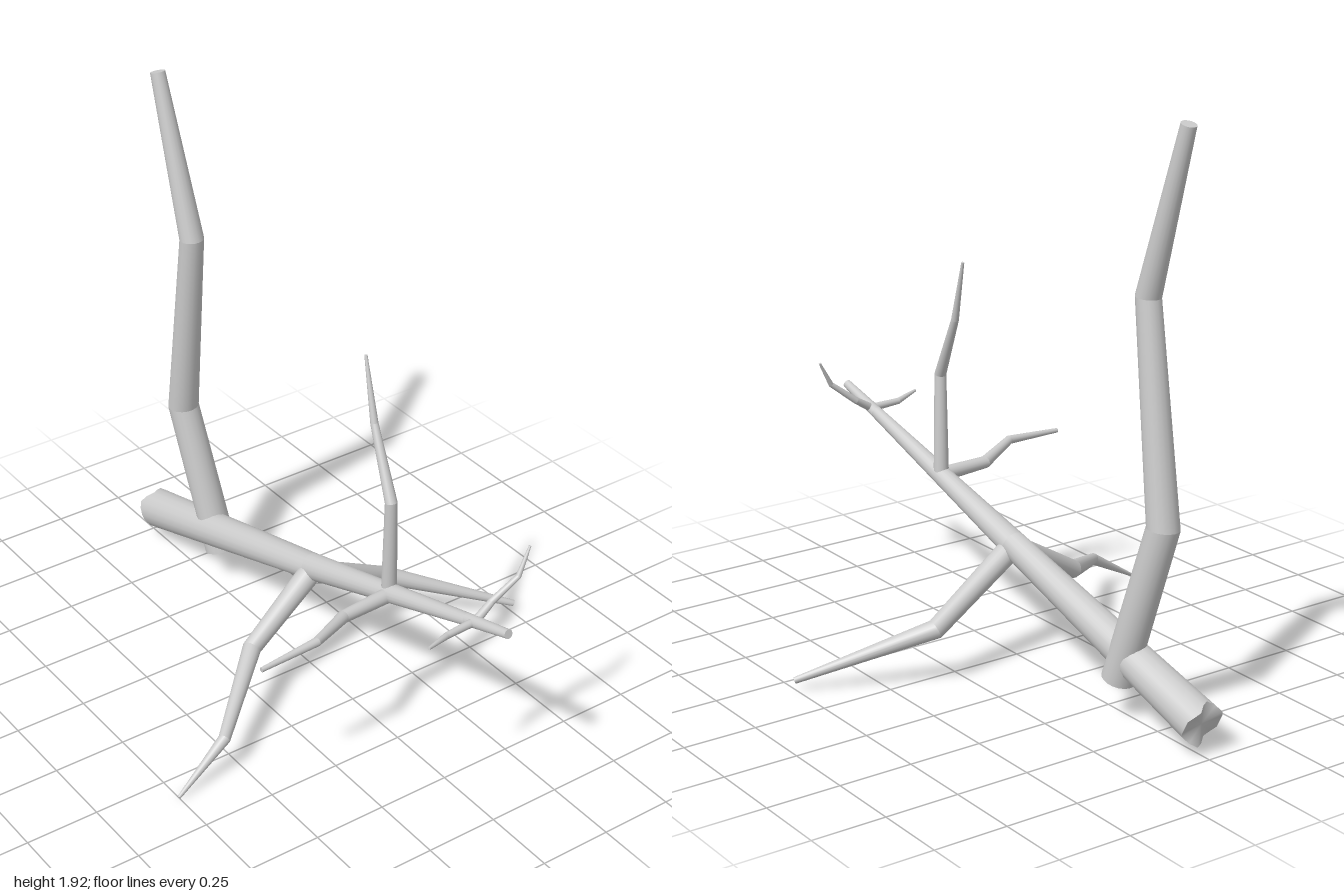
import * as THREE from 'three';

const SIDES = 18;
const material = new THREE.MeshStandardMaterial({ color: 0xcccccc });

// Tapered limb through [x, y, z, radius] points with mitred bends.
// jag(angle) shifts the first ring along the axis for a splintered end.
function limb(name, pts, jag = () => 0) {
  const centres = pts.map(p => new THREE.Vector3(p[0], p[1], p[2]));
  const dirs = centres.slice(1).map((c, i) => c.clone().sub(centres[i]).normalize());
  const u = new THREE.Vector3(0.31, 0.2, 0.93).cross(dirs[0]).normalize();
  const pos = [], index = [];

  // Ring at point k, perpendicular to segment s then slid onto the mitre plane
  const ring = (k, s) => {
    const d = dirs[s];
    const v = d.clone().cross(u);
    const n = (dirs[k - 1] ?? d).clone().add(dirs[k] ?? d).normalize();
    const out = [];
    for (let i = 0; i < SIDES; i++) {
      const a = i / SIDES * Math.PI * 2;
      const o = u.clone().multiplyScalar(Math.cos(a) * pts[k][3])
        .addScaledVector(v, Math.sin(a) * pts[k][3]);
      o.addScaledVector(d, -o.dot(n) / d.dot(n));
      if (k === 0) o.addScaledVector(d, jag(a));
      out.push(o.add(centres[k]));
    }
    return out;
  };
  const push = list => {
    const start = pos.length / 3;
    list.forEach(p => pos.push(p.x, p.y, p.z));
    return start;
  };
  const cap = (list, centre, flip) => {
    const r = push(list), c = push([centre]);
    for (let i = 0; i < SIDES; i++) {
      const j = (i + 1) % SIDES;
      index.push(c, r + (flip ? j : i), r + (flip ? i : j));
    }
  };

  dirs.forEach((d, s) => {
    if (s > 0) {
      u.applyQuaternion(new THREE.Quaternion().setFromUnitVectors(dirs[s - 1], d));
    }
    const lower = ring(s, s), upper = ring(s + 1, s);
    const a = push(lower), b = push(upper);
    for (let i = 0; i < SIDES; i++) {
      const j = (i + 1) % SIDES;
      index.push(a + i, a + j, b + j, a + i, b + j, b + i);
    }
    if (s === 0) cap(lower, centres[0], true);
    if (s === dirs.length - 1) cap(upper, centres[s + 1], false);
  });

  const geo = new THREE.BufferGeometry();
  geo.setAttribute('position', new THREE.Float32BufferAttribute(pos, 3));
  geo.setIndex(index);
  geo.computeVertexNormals();
  const mesh = new THREE.Mesh(geo, material);
  mesh.name = name;
  return mesh;
}

export function createModel() {
  const group = new THREE.Group();
  group.name = 'branch';

  // Main stem with a splintered broken end
  group.add(limb('mainStem', [
    [-0.965, 0.112, -0.005, 0.071], [0, 0.398, -0.013, 0.046],
    [0.8, 0.65, -0.03, 0.021], [0.99, 0.708, -0.032, 0.015],
  ], a => -0.004 + 0.013 * Math.sin(3 * a + 0.6) + 0.008 * Math.sin(5 * a)));

  // Thick upright fork, its stub poking out under the stem
  group.add(limb('uprightFork', [
    [-0.592, 0.135, -0.032, 0.056], [-0.745, 0.67, 0.012, 0.053],
    [-0.637, 1.37, 0.027, 0.041], [-0.795, 1.915, 0.04, 0.025],
  ]));

  // Pair of drooping limbs under the middle
  group.add(limb('lowerFrontLimb', [
    [0, 0.39, -0.015, 0.04], [0.065, 0.225, 0.28, 0.031],
    [0.305, 0.127, 0.55, 0.02], [0.345, 0.01, 0.752, 0.006],
  ]));
  group.add(limb('lowerBackLimb', [
    [0.012, 0.385, -0.01, 0.04], [-0.047, 0.195, -0.355, 0.032],
    [0.172, 0.04, -0.755, 0.011],
  ]));

  // Upper twig and its sideways neighbour
  group.add(limb('upperTwig', [
    [0.405, 0.525, -0.025, 0.026], [0.42, 0.88, -0.015, 0.02],
    [0.296, 1.1, -0.038, 0.013], [0.228, 1.31, -0.052, 0.005],
  ]));
  group.add(limb('sideTwig', [
    [0.415, 0.525, -0.03, 0.026], [0.432, 0.527, 0.175, 0.021],
    [0.52, 0.553, 0.34, 0.015], [0.53, 0.545, 0.555, 0.008],
  ]));

  // Small twigs near the tip
  group.add(limb('tipBackTwig', [
    [0.832, 0.655, -0.025, 0.015], [0.823, 0.7, -0.1, 0.012],
    [0.84, 0.77, -0.19, 0.009], [0.829, 0.857, -0.24, 0.004],
  ]));
  group.add(limb('tipFrontTwig', [
    [0.83, 0.66, -0.03, 0.014], [0.84, 0.661, 0.085, 0.011],
    [0.875, 0.675, 0.18, 0.005],
  ]));

  return group;
}
